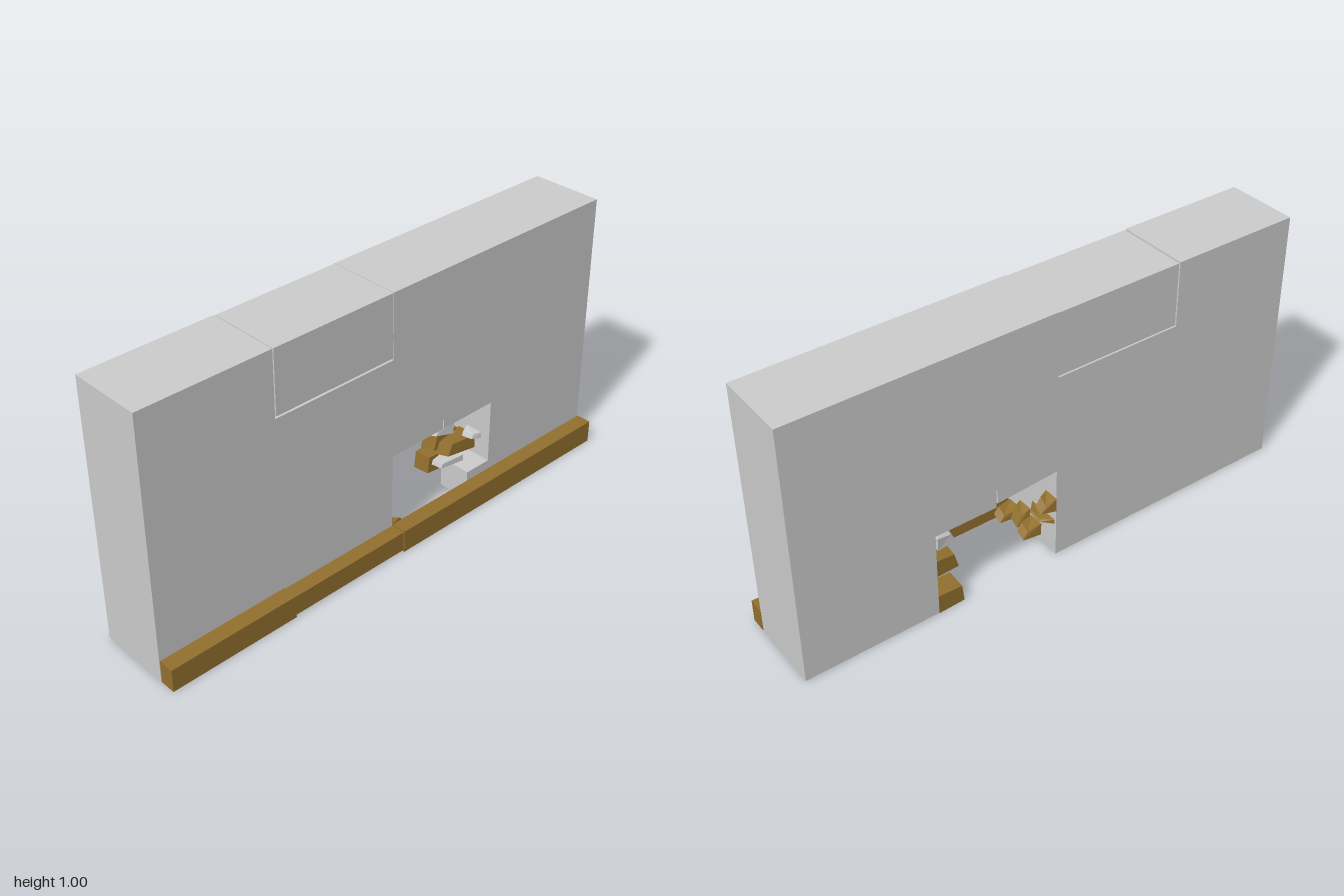
import * as THREE from 'three';

const grey = new THREE.MeshStandardMaterial({ color: 0xcccccc, flatShading: true });
const wood = new THREE.MeshStandardMaterial({ color: 0x92702e, flatShading: true });

export function createModel() {
  const model = new THREE.Group();

  const add = (name, geometry, material) => {
    const mesh = new THREE.Mesh(geometry, material);
    mesh.name = name;
    model.add(mesh);
    return mesh;
  };

  // Box given by its minimum and maximum corners
  const block = (name, material, [x0, y0, z0], [x1, y1, z1]) =>
    add(name, new THREE.BoxGeometry(x1 - x0, y1 - y0, z1 - z0)
      .translate((x0 + x1) / 2, (y0 + y1) / 2, (z0 + z1) / 2), material);

  // Outline in x and y, extruded from z0 to z1
  const slab = (name, points, z0, z1) => {
    const shape = new THREE.Shape(points.map(([x, y]) => new THREE.Vector2(x, y)));
    const geometry = new THREE.ExtrudeGeometry(shape, { depth: z1 - z0, bevelEnabled: false });
    return add(name, geometry.translate(0, 0, z0), grey);
  };

  // Rubble: a block pinched towards one end and skewed
  const chunk = (name, material, min, max, taper = 0.7, skew = 0.01) => {
    const mesh = block(name, material, min, max);
    const p = mesh.geometry.attributes.position;
    const cy = (min[1] + max[1]) / 2, cz = (min[2] + max[2]) / 2, cx = (min[0] + max[0]) / 2;
    // the end away from the nearer jamb is the broken one
    const fromLeft = cx < 0.2;
    for (let i = 0; i < p.count; i++) {
      const x = p.getX(i), y = p.getY(i), z = p.getZ(i);
      if ((x > cx) === fromLeft) {
        p.setY(i, cy + (y - cy) * taper + (z > cz ? skew : -skew));
        p.setZ(i, cz + (z - cz) * taper);
        p.setX(i, x + (y > cy ? -skew : skew) * (fromLeft ? 1 : -1));
      }
    }
    mesh.geometry.computeVertexNormals();
    return mesh;
  };

  // Wall with the broken opening, a short crack above it and a notch for the loose panel
  slab('wall', [
    [-1, 0], [0, 0], [0, 0.372], [0.244, 0.372], [0.244, 0.41], [0.249, 0.41], [0.249, 0.372],
    [0.49, 0.372], [0.49, 0], [1, 0], [1, 1], [0, 1], [0, 0.752], [-0.5, 0.752], [-0.5, 1], [-1, 1],
  ], -0.168, 0.109);
  block('loosePanel', grey, [-0.494, 0.758, -0.168], [0, 0.998, 0.107]);

  // Uneven lintel behind the front edge of the opening
  block('lintelBlock', grey, [0.25, 0.337, -0.168], [0.49, 0.372, -0.03]);
  slab('lintelWedge', [[0, 0.368], [0.244, 0.352], [0.244, 0.372], [0, 0.372]], -0.168, -0.03);

  // Skirting board in three lengths
  block('skirtingLeft', wood, [0, 0, 0.113], [1, 0.088, 0.172]);
  block('skirtingMiddle', wood, [-0.496, 0.006, 0.113], [0, 0.083, 0.168]);
  block('skirtingRight', wood, [-1, 0, 0.113], [-0.496, 0.088, 0.172]);

  // Remaining masonry and stacked rubble on the +x jamb
  block('masonryStub', grey, [0.38, 0, -0.02], [0.49, 0.12, 0.109]);
  chunk('lowerBrick', wood, [0.39, 0, -0.17], [0.49, 0.075, -0.09], 0.9, 0.004);
  chunk('middleBrick', wood, [0.385, 0.12, -0.13], [0.49, 0.19, -0.05], 0.85, 0.008);
  chunk('upperBrick', wood, [0.37, 0.145, -0.04], [0.49, 0.2, 0.04], 0.8);
  chunk('flatStone', grey, [0.32, 0.125, -0.02], [0.42, 0.15, 0.05], 0.7, 0.003);
  chunk('topStone', grey, [0.37, 0.2, -0.1], [0.44, 0.25, -0.02], 0.7);
  chunk('sideStone', grey, [0.455, 0.2, 0], [0.49, 0.225, 0.07], 0.7, 0.004);

  // Splinters standing out of the x = 0 jamb
  chunk('upperSplinter', wood, [0, 0.195, -0.17], [0.045, 0.25, -0.11], 0.5);
  chunk('middleSplinter', wood, [0, 0.132, -0.16], [0.035, 0.15, -0.03], 0.4, 0.004);
  for (const [z, top, reach] of [[-0.085, 0.08, 0.06], [-0.02, 0.105, 0.04], [0.04, 0.07, 0.07]])
    chunk('lowerSplinter', wood, [0, 0.03, z], [reach, top, z + 0.06], 0.6);

  return model;
}
